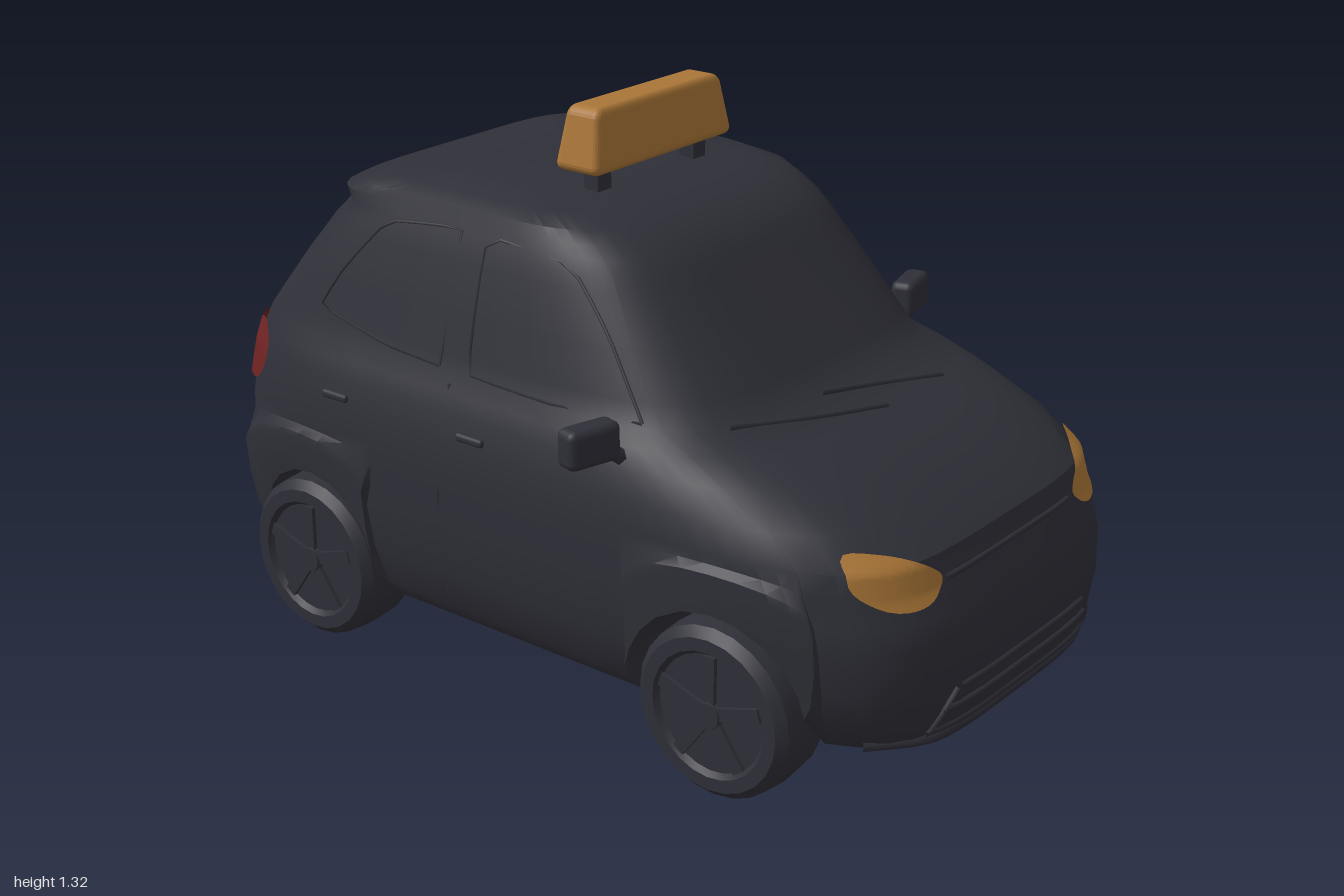
import * as THREE from 'three';
import { toCreasedNormals } from 'three/addons/utils/BufferGeometryUtils.js';
import { RoundedBoxGeometry } from 'three/addons/geometries/RoundedBoxGeometry.js';

// Horizontal body outlines: height, front z, back z, half width
const ROWS = [
  [0.16, 0.96, -0.93, 0.5], [0.2, 0.98, -0.965, 0.53], [0.3, 0.99, -0.99, 0.555],
  [0.4, 0.985, -1, 0.565], [0.45, 0.97, -0.975, 0.565], [0.5, 0.94, -0.955, 0.565],
  [0.56, 0.92, -0.95, 0.565], [0.62, 0.84, -0.94, 0.555], [0.68, 0.71, -0.93, 0.54],
  [0.72, 0.6, -0.92, 0.525], [0.75, 0.5, -0.91, 0.51], [0.8, 0.455, -0.875, 0.495],
  [0.9, 0.37, -0.8, 0.47], [1.0, 0.285, -0.72, 0.44], [1.03, 0.26, -0.69, 0.43],
  [1.055, 0.235, -0.67, 0.42], [1.08, 0.2, -0.69, 0.41], [1.105, 0.15, -0.64, 0.4],
  [1.125, 0.05, -0.56, 0.365], [1.14, -0.15, -0.42, 0.25],
];
const FRONT_POWER = 4.5, REAR_POWER = 6;
const AXLES = [0.565, -0.625], ARCH_R = 0.22, ARCH_Y = 0.215, FLOOR = 0.16;
const power = (z) => (z >= 0 ? FRONT_POWER : REAR_POWER);
const other = (v, n) => Math.pow(Math.max(0, 1 - Math.pow(Math.abs(v), n)), 1 / n);

function rowAt(y) {
  let i = 0;
  while (i < ROWS.length - 2 && ROWS[i + 1][0] < y) i++;
  const t = (y - ROWS[i][0]) / (ROWS[i + 1][0] - ROWS[i][0]);
  return ROWS[i].map((v, k) => v + (ROWS[i + 1][k] - v) * t);
}

// Point on the body at an angle from straight ahead and a height
function onBody(angle, y, lift = 0) {
  const [, zf, zb, w] = rowAt(y), s = Math.sin(angle), c = Math.cos(angle), e = 2 / power(c);
  const x = Math.sign(s) * Math.abs(s) ** e, z = Math.sign(c) * Math.abs(c) ** e;
  return new THREE.Vector3(x * (w + lift), y, (zf + zb) / 2 + z * ((zf - zb) / 2 + lift));
}

// Point on the body's flank at a given z and height
function onSide(side, z, y) {
  const [, zf, zb, w] = rowAt(y), Z = (z - (zf + zb) / 2) / ((zf - zb) / 2);
  return new THREE.Vector3(side * w * other(Z, power(Z)), y, z);
}

function bodyGeometry() {
  // Normalised outline, from the nose along the left flank to the tail
  const half = [0, 0.15, 0.3, 0.45, 0.57, 0.67, 0.76, 0.83].map((X) => [X, other(X, FRONT_POWER)]);
  const zs = [0.2, 0, -0.2];
  for (const a of AXLES) {
    for (const k of [-1.01, -0.99, -0.93, -0.8, -0.6, -0.3, 0, 0.3, 0.6, 0.8, 0.93, 0.99, 1.01]) {
      zs.push((a + k * ARCH_R) / 0.97);
    }
  }
  zs.sort((a, b) => b - a).forEach((Z) => half.push([other(Z, power(Z)), Z]));
  for (const X of [0.88, 0.8, 0.68, 0.5, 0.25, 0]) half.push([X, -other(X, REAR_POWER)]);
  const cols = half.concat(half.slice(1, -1).reverse().map(([X, Z]) => [-X, Z]));
  const n = cols.length, pos = [], index = [];

  const archAt = (Z) => {
    for (const a of AXLES) {
      const d = Math.abs(Z * 0.97 - a);
      if (d < ARCH_R) return ARCH_Y + Math.sqrt(ARCH_R ** 2 - d * d);
    }
    return 0;
  };
  const addRow = ([y, zf, zb, w], inner, flat) => {
    for (const [X, Z] of cols) {
      const arch = archAt(Z), edge = Math.max(FLOOR, arch);
      let x = X * (arch && y < 0.5 ? Math.max(w, 0.578) : w);
      if (inner) x = THREE.MathUtils.clamp(x, -0.36, 0.36);
      const yy = flat ? FLOOR : y < 0.56 ? edge + ((y - FLOOR) / 0.4) * (0.56 - edge) : y;
      pos.push(x, yy, (zf + zb) / 2 + (Z * (zf - zb)) / 2);
    }
  };
  addRow(ROWS[0], true, true); // floor edge
  addRow(ROWS[0], true, false); // top of wheel wells
  ROWS.forEach((r) => addRow(r));
  const rows = ROWS.length + 2;
  for (let r = 0; r < rows - 1; r++) {
    for (let c = 0; c < n; c++) {
      const a = r * n + c, b = r * n + ((c + 1) % n);
      index.push(a, b, b + n, a, b + n, a + n);
    }
  }
  // Floor and roof caps
  pos.push(0, FLOOR, 0, 0, 1.143, -0.28);
  const top = (rows - 1) * n;
  for (let c = 0; c < n; c++) {
    const d = (c + 1) % n;
    index.push(rows * n, d, c, rows * n + 1, top + c, top + d);
  }
  const g = new THREE.BufferGeometry();
  g.setAttribute('position', new THREE.Float32BufferAttribute(pos, 3));
  g.setIndex(index);
  return toCreasedNormals(g, 0.6);
}

// Thin lamp skin following the body; outline holds [angle, height] pairs
function lampGeometry(outline, side, base) {
  const loop = new THREE.CatmullRomCurve3(outline.map(([a, y]) => new THREE.Vector3(a, y, 0)), true).getPoints(32).slice(0, -1);
  const mid = loop.reduce((s, p) => s.add(p), new THREE.Vector3()).divideScalar(loop.length);
  const pos = [], index = [], n = loop.length, steps = 6;
  for (let r = 0; r <= steps; r++) {
    for (const p of loop) {
      const q = mid.clone().lerp(p, r / steps);
      pos.push(...onBody(base + side * q.x, q.y, 0.008).toArray());
    }
  }
  for (let r = 0; r < steps; r++) {
    for (let c = 0; c < n; c++) {
      const a = r * n + c, b = r * n + ((c + 1) % n);
      // wind outward on either side
      if (side > 0 === (base === 0)) index.push(a, b + n, b, a, a + n, b + n);
      else index.push(a, b, b + n, a, b + n, a + n);
    }
  }
  const g = new THREE.BufferGeometry();
  g.setAttribute('position', new THREE.Float32BufferAttribute(pos, 3));
  g.setIndex(index);
  g.computeVertexNormals();
  return g;
}

export function createModel() {
  const car = new THREE.Group();
  car.name = 'car';
  const mat = (name, color, side = THREE.FrontSide) => {
    const m = new THREE.MeshStandardMaterial({ color, side });
    m.name = name;
    return m;
  };
  const dark = mat('dark paint', 0x2f2f38);
  const amber = mat('amber', 0xaa7637, THREE.DoubleSide);
  const red = mat('tail red', 0x6e2322, THREE.DoubleSide);
  const add = (name, geo, m, x = 0, y = 0, z = 0, parent = car) => {
    const mesh = new THREE.Mesh(geo, m);
    mesh.name = name;
    mesh.position.set(x, y, z);
    parent.add(mesh);
    return mesh;
  };
  const tube = (name, pts, r, tension = 0.5) =>
    add(name, new THREE.TubeGeometry(new THREE.CatmullRomCurve3(pts, false, 'catmullrom', tension), 24, r, 5), dark);

  add('body', bodyGeometry(), dark);

  // Nose: grille bars, grille sides and bonnet seam
  const across = (y, reach) => [-1, -0.75, -0.5, -0.2, 0.2, 0.5, 0.75, 1].map((k) =>
    onBody(Math.sign(k) * Math.asin(Math.abs((k * reach) / rowAt(y)[3]) ** (FRONT_POWER / 2)), y));
  [[0.19, 0.33], [0.235, 0.3], [0.28, 0.25]].forEach(([y, r]) => tube('grilleBar', across(y, r), 0.008));
  tube('bonnetSeam', across(0.51, 0.25), 0.007);
  tube('frontLip', across(0.17, 0.42), 0.014);

  for (const s of [1, -1]) {
    tube('grilleSide', [onBody(s * 0.34, 0.19), onBody(s * 0.26, 0.235), onBody(s * 0.19, 0.28)], 0.008);
    const headlight = [[0.18, 0.52], [0.247, 0.555], [0.43, 0.588], [0.64, 0.585], [0.67, 0.54], [0.55, 0.495], [0.355, 0.477], [0.23, 0.49]];
    add('headlight', lampGeometry(headlight, s, 0), amber);
    const tail = [[0.3, 0.62], [0.32, 0.7], [0.65, 0.73], [0.92, 0.735], [1.02, 0.69], [0.95, 0.62], [0.65, 0.6]];
    add('tailLight', lampGeometry(tail, s, Math.PI), red);

    // Flank trim: window outlines, door seams and handles
    const line = (name, pts) => tube(name, pts.map(([z, y]) => onSide(s, z, y)), 0.004, 0.1);
    line('frontWindowTrim', [[0.32, 0.76], [0.2, 0.92], [0.08, 1.04], [-0.15, 1.06], [-0.15, 0.9], [-0.14, 0.77], [0.1, 0.76], [0.32, 0.76]]);
    line('rearWindowTrim', [[-0.23, 0.77], [-0.23, 1.06], [-0.45, 1.04], [-0.56, 0.92], [-0.62, 0.82], [-0.4, 0.78], [-0.23, 0.77]]);
    line('doorSeam', [[-0.19, 0.74], [-0.19, 0.5], [-0.19, 0.24]]);
    for (const z of [-0.1, -0.52]) {
      add('doorHandle', new RoundedBoxGeometry(0.02, 0.02, 0.08, 2, 0.008), dark, onSide(s, z, 0.64).x, 0.64, z);
    }

    // Wing mirror
    const mirror = add('wingMirror', new RoundedBoxGeometry(0.13, 0.088, 0.06, 2, 0.018), dark, s * 0.602, 0.75, 0.285);
    mirror.rotation.y = s * 0.25;
    tube('mirrorStalk', [new THREE.Vector3(s * 0.48, 0.67, 0.3), new THREE.Vector3(s * 0.53, 0.705, 0.3), new THREE.Vector3(s * 0.57, 0.74, 0.29)], 0.018);

    // Wheels: tyre with dished rim and five spokes
    for (const z of AXLES) {
      const wheel = new THREE.Group();
      wheel.name = z > 0 ? 'frontWheel' : 'rearWheel';
      wheel.position.set(s * 0.482, 0.2, z);
      wheel.rotation.z = -s * Math.PI / 2;
      const profile = [[0, -0.08], [0.17, -0.08], [0.195, -0.06], [0.2, 0], [0.195, 0.062], [0.175, 0.083], [0.145, 0.083], [0.135, 0.07], [0, 0.07]];
      add('tyre', toCreasedNormals(new THREE.LatheGeometry(profile.map(([r, h]) => new THREE.Vector2(r, h)), 24), 0.6), dark, 0, 0, 0, wheel);
      add('hub', new THREE.CylinderGeometry(0.03, 0.035, 0.02, 12), dark, 0, 0.075, 0, wheel);
      for (let i = 0; i < 5; i++) {
        const a = (i * Math.PI * 2) / 5;
        const spoke = add('spoke', new THREE.BoxGeometry(0.12, 0.014, 0.03), dark, Math.cos(a) * 0.075, 0.073, Math.sin(a) * 0.075, wheel);
        spoke.rotation.y = -a;
      }
      car.add(wheel);
    }

    // Sign leg and windscreen wiper
    add('signLeg', new THREE.BoxGeometry(0.045, 0.08, 0.04), dark, s * 0.17, 1.155, -0.05);
  }
  const wiper = (x0, x1) => tube('wiper', [0, 0.5, 1].map((t) => {
    const x = x0 + (x1 - x0) * t, y = 0.755 - 0.035 * t;
    return onBody(Math.sign(x) * Math.asin(Math.abs(x / rowAt(y)[3]) ** (FRONT_POWER / 2)), y, 0.004);
  }), 0.007);
  wiper(-0.36, 0.02);
  wiper(-0.08, 0.25);

  // Tail: high brake light and number plate panel
  add('highBrakeLight', new THREE.BoxGeometry(0.09, 0.014, 0.02), red, 0, 1.05, -0.669);
  add('platePanel', new RoundedBoxGeometry(0.3, 0.1, 0.02, 2, 0.008), dark, 0, 0.58, -0.945);
  add('tailgateHandle', new RoundedBoxGeometry(0.36, 0.02, 0.025, 2, 0.008), dark, 0, 0.66, -0.935);

  // Roof sign, narrowing towards the top
  const sign = new RoundedBoxGeometry(0.49, 0.145, 0.128, 3, 0.02);
  const p = sign.attributes.position;
  for (let i = 0; i < p.count; i++) {
    const t = p.getY(i) / 0.145 + 0.5;
    p.setX(i, p.getX(i) * (1 - 0.12 * t * t));
    p.setZ(i, p.getZ(i) * (1 - 0.3 * t));
  }
  sign.computeVertexNormals();
  add('roofSign', sign, amber, 0, 1.252, -0.052);
  return car;
}
